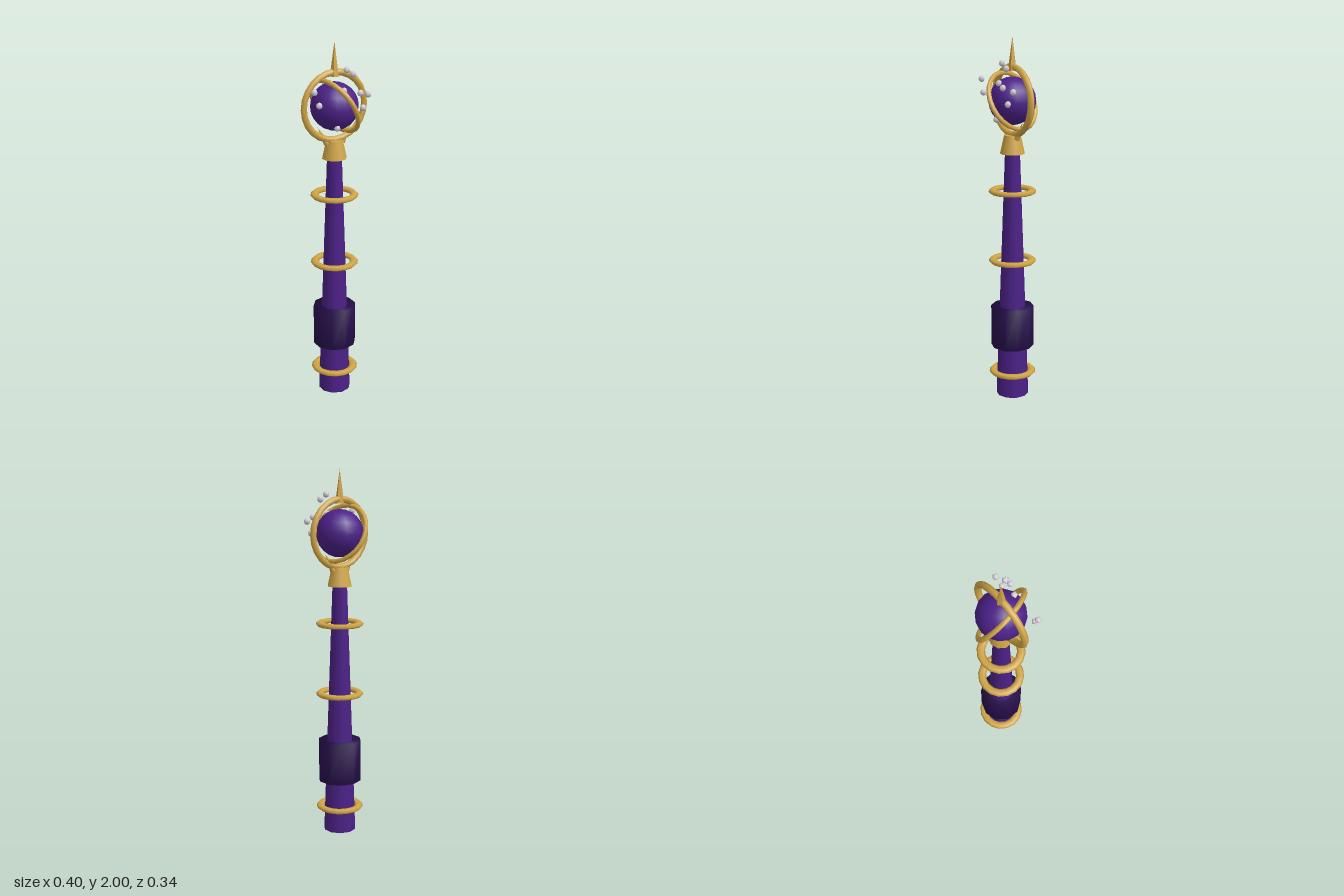
import * as THREE from 'three';
import { mergeVertices } from 'three/addons/utils/BufferGeometryUtils.js';

const mat = (name, color) => {
  const m = new THREE.MeshStandardMaterial({ color });
  m.name = name;
  return m;
};

// Share vertices so normals blend across the cap edges
function soften(geo) {
  geo.deleteAttribute('normal');
  geo.deleteAttribute('uv');
  const g = mergeVertices(geo);
  g.computeVertexNormals();
  return g;
}

// Separate faces for a faceted look
function facet(geo) {
  const g = geo.toNonIndexed();
  g.computeVertexNormals();
  return g;
}

export function createModel() {
  const purple = mat('royal purple', 0x4c2188);
  const dark = mat('dark violet', 0x270f4c);
  const gold = mat('gold', 0xd2a647);
  const pearl = mat('pearl white', 0xdad2de);

  const model = new THREE.Group();
  model.name = 'sceptre';
  const add = (name, geo, material, x = 0, y = 0, z = 0) => {
    const mesh = new THREE.Mesh(geo, material);
    mesh.name = name;
    mesh.position.set(x, y, z);
    model.add(mesh);
    return mesh;
  };
  const orbY = 1.663;

  // Tapered shaft and grip
  add('shaft', soften(new THREE.CylinderGeometry(0.04, 0.09, 1.4, 10)), purple, 0, 0.7);
  add('grip', soften(new THREE.CylinderGeometry(0.119, 0.119, 0.23, 10)), dark, 0, 0.405);

  // Flattened rings around the shaft
  const band = new THREE.TorusGeometry(0.108, 0.023, 6, 16);
  band.scale(1, 1, 0.6);
  band.rotateX(Math.PI / 2);
  for (const y of [0.135, 0.785, 1.175]) add('shaftRing', band, gold, 0, y);

  // Collar and the two claws that hold the orb
  add('collar', new THREE.CylinderGeometry(0.045, 0.067, 0.1, 10), gold, 0, 1.43);
  for (const side of [-1, 1]) {
    const claw = add('claw', new THREE.ConeGeometry(0.018, 0.11, 6), gold, side * 0.072, 1.512);
    claw.rotation.z = -side * 0.53;
  }

  // Orb with an upright ring and a tilted ring
  add('orb', new THREE.SphereGeometry(0.128, 16, 12), purple, 0, orbY);
  add('uprightRing', new THREE.TorusGeometry(0.18, 0.018, 6, 24), gold, 0, orbY);
  const tilted = add('tiltedRing', new THREE.TorusGeometry(0.162, 0.0135, 6, 24), gold, 0, orbY);
  tilted.quaternion.setFromUnitVectors(
    new THREE.Vector3(0, 0, 1), new THREE.Vector3(0.86, 0.46, -0.22).normalize());

  // Spike on top
  const spike = add('spike', facet(new THREE.ConeGeometry(0.025, 0.18, 5)), gold, 0, 1.91);
  spike.rotation.y = Math.PI;

  // Scattered pearls in front of the orb
  const bead = new THREE.SphereGeometry(0.018, 5, 4);
  bead.rotateY(-Math.PI / 2);
  const spots = [
    [-0.165, 1.77, 0.09], [-0.14, 1.7, 0.095], [0.028, 1.865, 0.08],
    [0.067, 1.84, 0.08], [0.008, 1.76, 0.088], [0.09, 1.745, 0.115],
    [0.15, 1.727, 0.09], [0.115, 1.662, 0.1], [-0.028, 1.566, 0.082],
  ];
  for (const [x, y, z] of spots) add('pearl', bead, pearl, x, y, z);

  return model;
}
